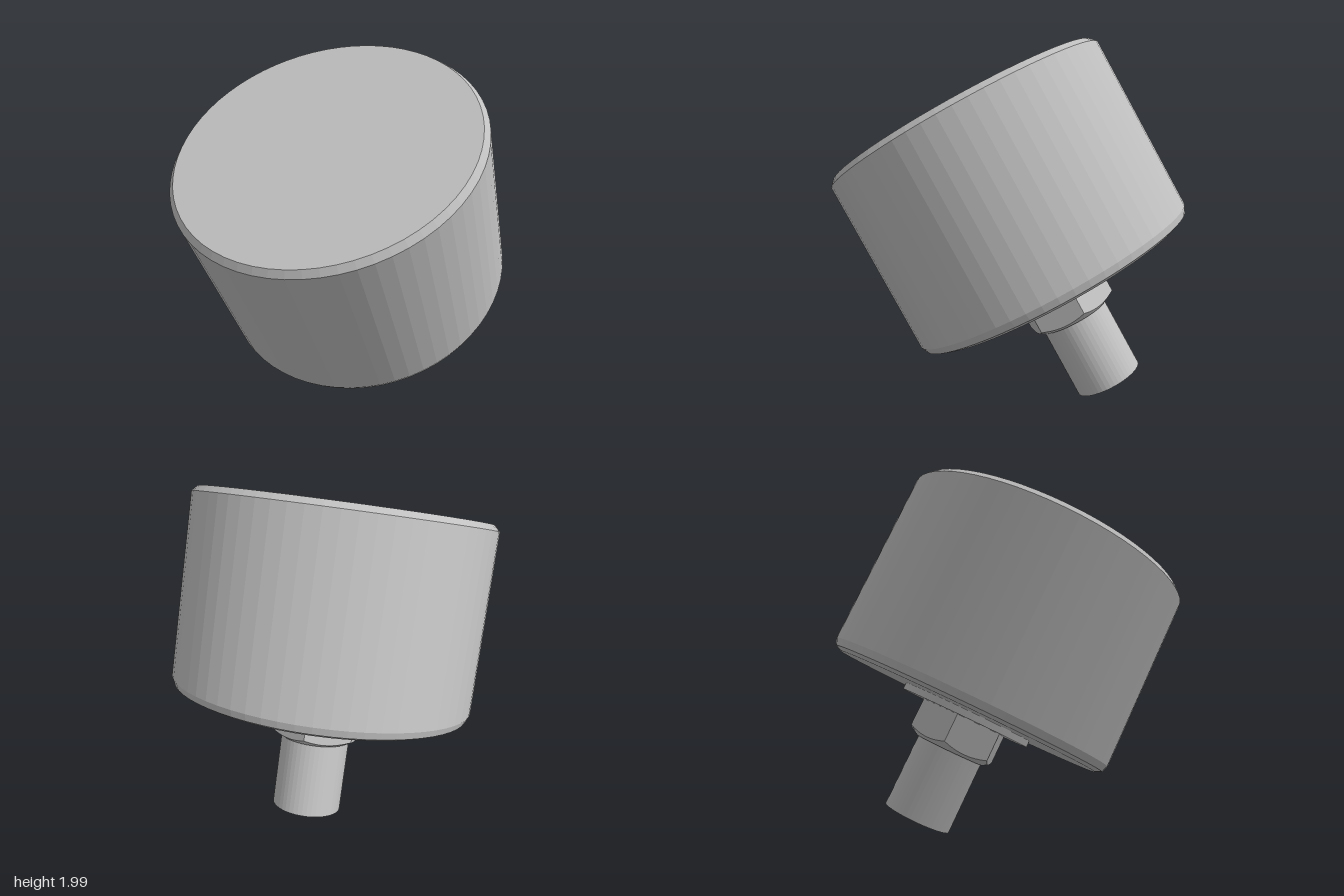
import * as THREE from 'three';

export function createModel() {
  const steel = new THREE.MeshStandardMaterial({ color: 0xc0c0c0, flatShading: true });
  steel.name = 'grey steel';

  const model = new THREE.Group();
  model.name = 'tiltedGauge';

  // Everything is turned about one axis, which leans 30 degrees to the front
  const axis = new THREE.Group();
  axis.name = 'gaugeAxis';
  axis.rotation.x = Math.PI / 6;
  axis.position.set(0, 0.285, -0.494);
  model.add(axis);

  // Solid of revolution from [radius, height] pairs, listed bottom to top
  const turn = (name, profile, segments) => {
    const points = profile.map(([r, y]) => new THREE.Vector2(r, y));
    const mesh = new THREE.Mesh(new THREE.LatheGeometry(points, segments), steel);
    mesh.name = name;
    axis.add(mesh);
    return mesh;
  };

  // Drum with a chamfered top rim and a rounded bottom rim
  turn('drumBody', [
    [0, 0.435], [0.785, 0.435], [0.822, 0.452], [0.838, 0.49],
    [0.838, 1.48], [0.808, 1.512], [0, 1.512],
  ], 64);

  turn('washer', [[0, 0.397], [0.387, 0.397], [0.387, 0.436], [0, 0.436]], 64);

  turn('stem', [[0, -0.212], [0.194, -0.212], [0.194, 0.4], [0, 0.4]], 48);

  // Hex nut: rings pushed out to a hexagon, lower edge cut by a shallow cone
  const nut = turn('hexNut', [[0.15, 0.2], [0.205, 0.2], [0.25, 0.22], [0.25, 0.398]], 48);
  const pos = nut.geometry.attributes.position;
  const flat = 0.233, side = Math.PI / 3;
  for (let i = 0; i < pos.count; i++) {
    const ring = i % 4;
    if (ring < 2) continue;
    const angle = Math.atan2(pos.getX(i), pos.getZ(i)) + 2 * Math.PI;
    const r = flat / Math.cos((angle % side) - side / 2);
    const y = ring === 2 ? 0.2 + (r - 0.205) * 0.6 : 0.398;
    pos.setXYZ(i, r * Math.sin(angle), y, r * Math.cos(angle));
  }
  nut.geometry.computeVertexNormals();

  return model;
}
